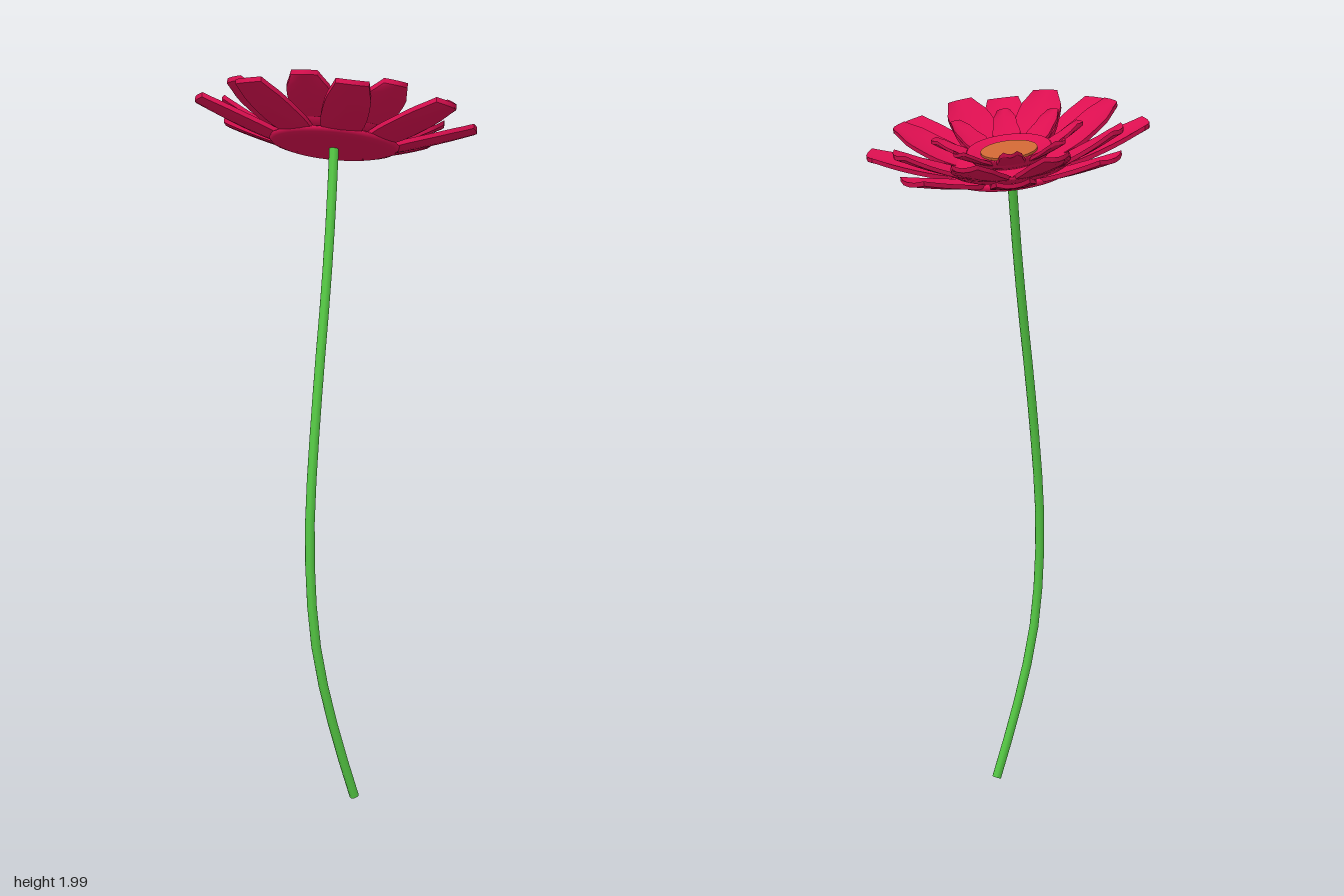
import * as THREE from 'three';

const petalMat = new THREE.MeshStandardMaterial({ color: 0xdc0f50 });
const centreMat = new THREE.MeshStandardMaterial({ color: 0xcc6633 });
const stemMat = new THREE.MeshStandardMaterial({ color: 0x55c944 });

function add(parent, name, geometry, material) {
  const mesh = new THREE.Mesh(geometry, material);
  mesh.name = name;
  parent.add(mesh);
  return mesh;
}

// A blunt petal along +z: a box bent upwards, swelling in the middle, slightly cupped
function petalGeometry({ r0, r1, h0, h1, base, wide, tip, thick, bend }) {
  const geo = new THREE.BoxGeometry(2, 1, 1, 4, 1, 8);
  const p = geo.attributes.position;
  const half = new THREE.SplineCurve([
    [0, base], [0.4, (base + wide) / 2 + 0.006], [0.72, wide], [0.88, wide * 0.93], [1, tip],
  ].map(([t, w]) => new THREE.Vector2(t, w)));
  for (let i = 0; i < p.count; i++) {
    const s = p.getX(i), t = p.getZ(i) + 0.5, top = p.getY(i) + 0.5;
    const w = half.getPoint(t).y;
    const length = (r1 - r0) * t - 0.016 * s * s * t * t;
    const height = h0 + (h1 - h0) * ((1 - bend) * t + bend * t * t);
    p.setXYZ(i, s * w, height + 0.1 * w * s * s + (top - 1) * thick, r0 + length);
  }
  geo.computeVertexNormals();
  return geo;
}

// Ring of eight petals
function petalRing(parent, name, offset, spec) {
  const ring = new THREE.Group();
  ring.name = name;
  const geo = petalGeometry(spec);
  for (let i = 0; i < 8; i++) {
    add(ring, 'petal', geo, petalMat).rotation.y = THREE.MathUtils.degToRad(offset + i * 45);
  }
  parent.add(ring);
}

function lathe(points) {
  return new THREE.LatheGeometry(points.map(([r, y]) => new THREE.Vector2(r, y)), 40);
}

export function createModel() {
  const flower = new THREE.Group();
  flower.name = 'flower';

  // Curved stem with a cut lower end
  const path = new THREE.CatmullRomCurve3([
    [-0.108, 0.006, 0.185], [-0.16, 0.16, 0.178], [-0.205, 0.32, 0.17], [-0.233, 0.47, 0.163],
    [-0.242, 0.64, 0.155], [-0.235, 0.8, 0.146], [-0.205, 1.0, 0.129], [-0.165, 1.2, 0.107],
    [-0.118, 1.4, 0.08], [-0.07, 1.6, 0.047], [-0.028, 1.785, 0.014],
  ].map((c) => new THREE.Vector3(...c)));
  add(flower, 'stem', new THREE.TubeGeometry(path, 16, 0.013, 8), stemMat);
  const cut = add(flower, 'stemEnd', new THREE.CircleGeometry(0.013, 8), stemMat);
  cut.position.copy(path.getPoint(0));
  cut.quaternion.setFromUnitVectors(new THREE.Vector3(0, 0, 1), path.getTangent(0).negate());

  // Head, tilted towards the right of the picture plane and slightly back
  const head = new THREE.Group();
  head.name = 'head';
  head.position.set(-0.028, 1.775, 0.012);
  head.quaternion.setFromUnitVectors(
    new THREE.Vector3(0, 1, 0), new THREE.Vector3(0.257, 1, -0.14).normalize());
  flower.add(head);

  // Stacked cups that carry the petal rings
  add(head, 'outerCup', lathe([
    [0, 0], [0.08, 0], [0.15, 0.002], [0.17, 0.008], [0.18, 0.018], [0.17, 0.024], [0, 0.02]]), petalMat);
  add(head, 'middleCup', lathe([
    [0, 0.015], [0.12, 0.016], [0.165, 0.026], [0.188, 0.042], [0.182, 0.05], [0.15, 0.04], [0, 0.035]]), petalMat);
  add(head, 'innerCup', lathe([
    [0, 0.035], [0.08, 0.036], [0.105, 0.05], [0.118, 0.072], [0.113, 0.077], [0.095, 0.068], [0.075, 0.063], [0, 0.06]]), petalMat);

  petalRing(head, 'outerPetals', 8.3,
    { r0: 0.13, r1: 0.388, h0: 0.014, h1: 0.1, base: 0.045, wide: 0.062, tip: 0.044, thick: 0.013, bend: 0.15 });
  petalRing(head, 'middlePetals', 30.8,
    { r0: 0.14, r1: 0.333, h0: 0.036, h1: 0.132, base: 0.055, wide: 0.063, tip: 0.036, thick: 0.013, bend: 0.2 });
  petalRing(head, 'innerPetals', 9,
    { r0: 0.095, r1: 0.208, h0: 0.062, h1: 0.122, base: 0.033, wide: 0.033, tip: 0.018, thick: 0.01, bend: 0.1 });

  // Flat round centre
  const centre = add(head, 'centre', new THREE.CylinderGeometry(0.078, 0.078, 0.02, 40), centreMat);
  centre.position.y = 0.06;

  return flower;
}
